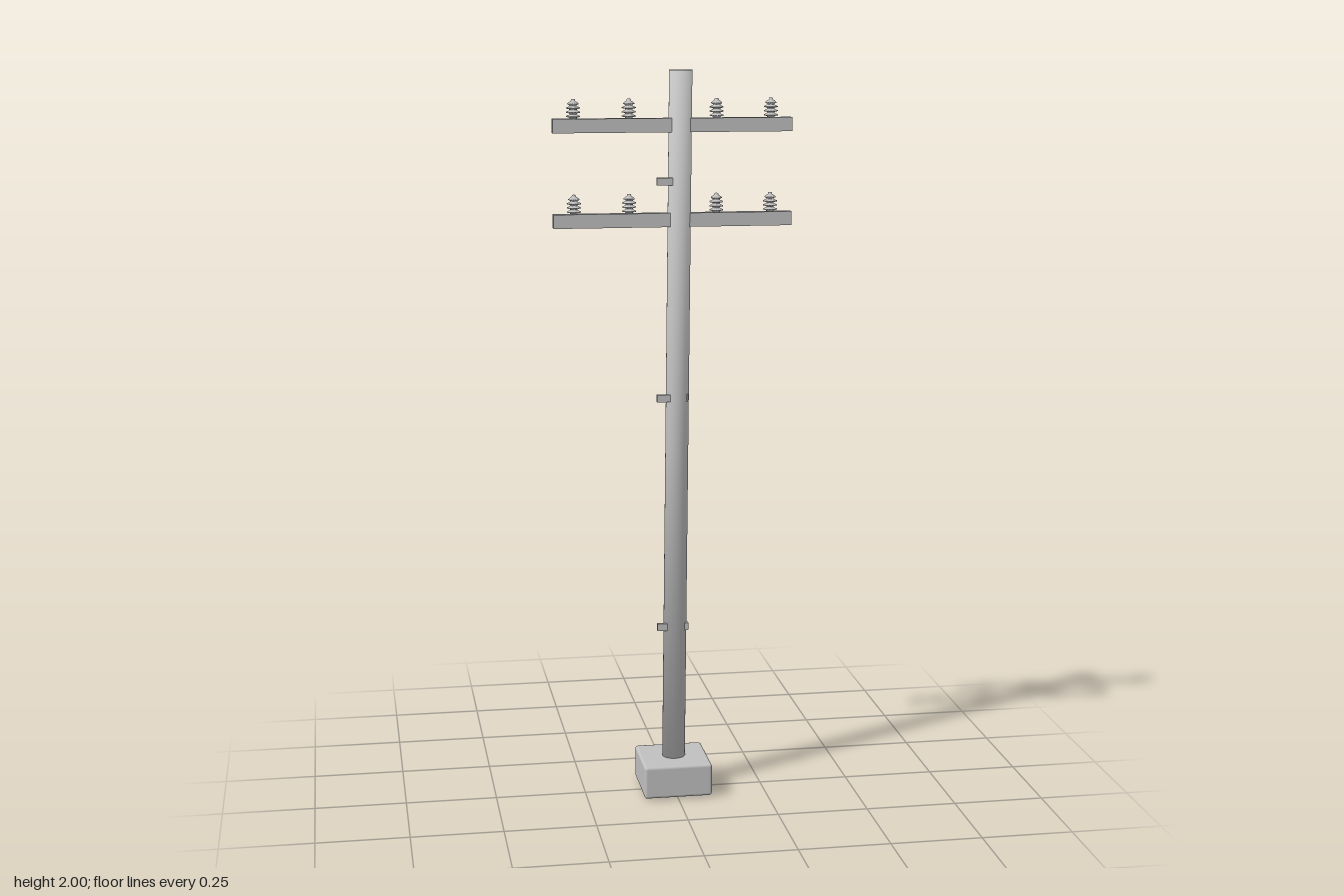
import * as THREE from 'three';
import { RoundedBoxGeometry } from 'three/addons/geometries/RoundedBoxGeometry.js';

export function createModel() {
  const model = new THREE.Group();
  model.name = 'utilityPole';
  const grey = new THREE.MeshStandardMaterial({ color: 0xc0c0c0 });
  grey.name = 'plain grey';

  function add(name, geometry, x, y, z, parent = model) {
    const mesh = new THREE.Mesh(geometry, grey);
    mesh.name = name;
    mesh.position.set(x, y, z);
    parent.add(mesh);
    return mesh;
  }

  // Footing block with softened edges
  add('footing', new RoundedBoxGeometry(0.19, 0.092, 0.19, 3, 0.008), 0, 0.051, 0);

  // Leaning pole, with end normals softened into the caps
  const pole = new THREE.CylinderGeometry(0.031, 0.032, 2, 24, 2);
  pole.translate(0, 1, 0);
  const p = pole.attributes.position;
  const n = pole.attributes.normal;
  const v = new THREE.Vector3();
  for (let i = 0; i < p.count; i++) {
    const x = p.getX(i), y = p.getY(i), z = p.getZ(i);
    v.set(x, 0, z).divideScalar(0.032);
    v.y = (y - 1) * 0.8;
    v.normalize();
    n.setXYZ(i, v.x, v.y, v.z);
    p.setXYZ(i, x + 0.0105 * y, y, z - 0.0025 * y);
  }
  add('pole', pole, 0, 0, 0);

  // Ribbed insulator profile: alternating skirts and necks below a small tip
  const profile = [new THREE.Vector2(0, -0.002), new THREE.Vector2(0.01, -0.002)];
  for (let i = 0; i < 4; i++) {
    const y = 0.003 + i * 0.011;
    const r = i === 3 ? 0.015 : 0.019;
    profile.push(new THREE.Vector2(0.01, y), new THREE.Vector2(r, y + 0.002),
      new THREE.Vector2(r, y + 0.004), new THREE.Vector2(0.01, y + 0.008));
  }
  profile.push(new THREE.Vector2(0.006, 0.046), new THREE.Vector2(0.005, 0.051), new THREE.Vector2(0, 0.052));
  const insulator = new THREE.LatheGeometry(profile, 16);

  // Two crossarms, each carrying four insulators
  for (const [name, y] of [['upperCrossarm', 1.856], ['lowerCrossarm', 1.605]]) {
    const arm = new THREE.Group();
    arm.name = name;
    arm.position.y = y;
    model.add(arm);
    add('beam', new THREE.BoxGeometry(0.644, 0.037, 0.026), -0.001, 0, 0, arm);
    for (const x of [-0.267, -0.119, 0.117, 0.264]) add('insulator', insulator, x, 0.0185, 0, arm);
  }

  // Step pegs driven through the pole
  for (const [y, right] of [[1.708, -0.004], [1.122, 0.038], [0.477, 0.04]]) {
    const left = -0.047;
    add('stepPeg', new THREE.BoxGeometry(right - left, 0.02, 0.011), (left + right) / 2, y, 0.014);
  }
  return model;
}
